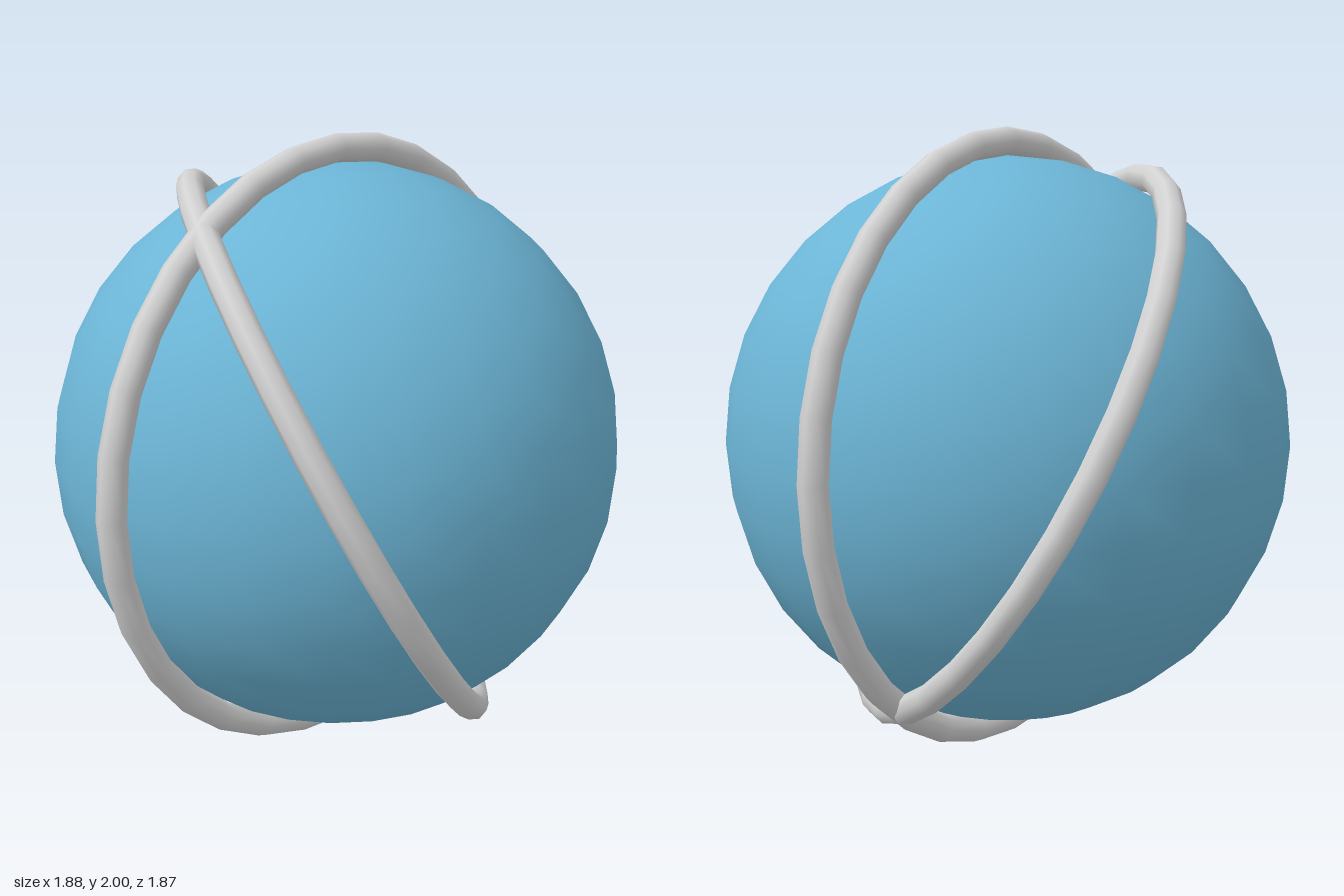
import * as THREE from 'three';

export function createModel() {
  const model = new THREE.Group();
  model.name = 'ringedBall';

  const blue = new THREE.MeshStandardMaterial({ color: 0x6cb5d6 });
  blue.name = 'sky blue';
  const grey = new THREE.MeshStandardMaterial({ color: 0xd2d2d2 });
  grey.name = 'light grey';

  // Ball
  const ball = new THREE.Mesh(new THREE.SphereGeometry(0.91, 24, 16), blue);
  ball.name = 'ball';
  ball.position.y = 1;
  model.add(ball);

  // Two great-circle rings, each turned to face along its plane normal
  const ringGeometry = new THREE.TorusGeometry(0.955, 0.045, 8, 32);
  const addRing = (name, normal) => {
    const ring = new THREE.Mesh(ringGeometry, grey);
    ring.name = name;
    ring.position.y = 1;
    ring.quaternion.setFromUnitVectors(new THREE.Vector3(0, 0, 1), normal.normalize());
    model.add(ring);
  };
  addRing('uprightRing', new THREE.Vector3(Math.sin(0.35), 0, Math.cos(0.35)));
  addRing('tiltedRing', new THREE.Vector3(0.81, 0.475, 0.345));

  return model;
}
